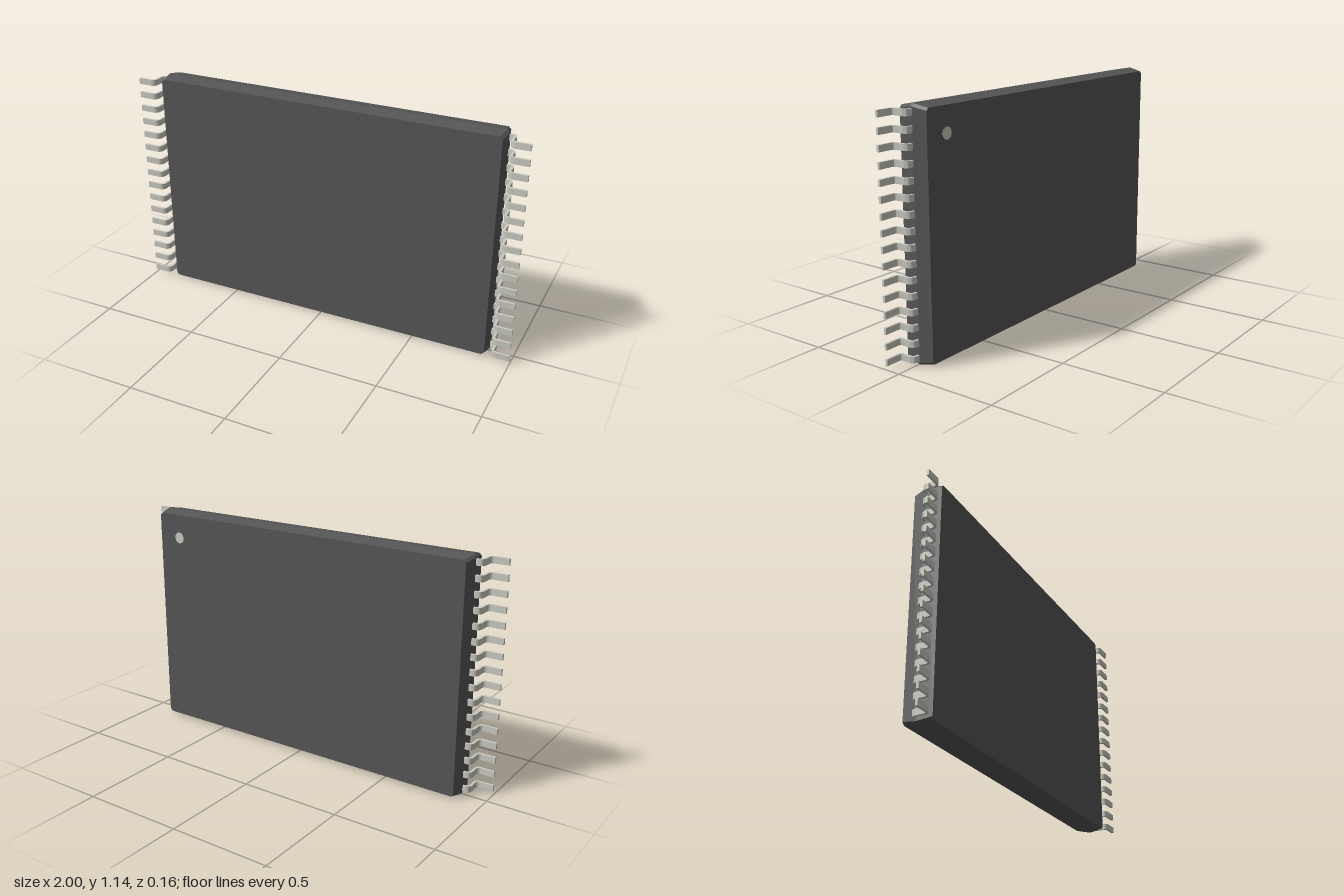
import * as THREE from 'three';
import { toCreasedNormals } from 'three/addons/utils/BufferGeometryUtils.js';

const HEIGHT = 1.14;
const PINS = 16;

// Chamfered-rectangle rings joined along z, with flat caps
function bodyGeometry() {
  // z, half width, half height of each ring, back to front
  const sections = [
    [-0.078, 0.868, 0.556],
    [-0.012, 0.882, 0.57],
    [0, 0.882, 0.57],
    [0.065, 0.872, 0.559],
  ];
  const c = 0.012;
  const pos = [];
  const index = [];
  for (const [z, w, h] of sections) {
    const ring = [[w, c - h], [w, h - c], [w - c, h], [c - w, h],
      [-w, h - c], [-w, c - h], [c - w, -h], [w - c, -h]];
    for (const [x, y] of ring) pos.push(x, y + HEIGHT / 2, z);
  }
  const last = (sections.length - 1) * 8;
  for (let i = 0; i < last; i += 8) {
    for (let j = 0; j < 8; j++) {
      const k = (j + 1) % 8;
      index.push(i + j, i + k, i + 8 + k, i + j, i + 8 + k, i + 8 + j);
    }
  }
  for (let j = 1; j < 7; j++) {
    index.push(0, j + 1, j, last, last + j, last + j + 1);
  }
  const geo = new THREE.BufferGeometry();
  geo.setAttribute('position', new THREE.Float32BufferAttribute(pos, 3));
  geo.setIndex(index);
  const flat = geo.toNonIndexed();
  flat.computeVertexNormals();
  return flat;
}

// Bent strip drawn in the x-z plane, extruded along the pin's width
function pinGeometry(side) {
  const PI = Math.PI;
  const width = 0.03;
  const s = new THREE.Shape();
  s.moveTo(0.86, -0.012);
  s.lineTo(0.894, -0.012);
  s.absarc(0.894, 0.012, 0.024, -PI / 2, 0, false);
  s.absarc(0.93, 0.0535, 0.012, PI, PI / 2, true);
  s.lineTo(1, 0.0655);
  s.lineTo(1, 0.0775);
  s.absarc(0.93, 0.0535, 0.024, PI / 2, PI, false);
  s.absarc(0.894, 0.012, 0.012, 0, -PI / 2, true);
  s.lineTo(0.86, 0);
  const pts = s.getPoints(6).map((p) => new THREE.Vector2(p.x * side, p.y));
  const geo = new THREE.ExtrudeGeometry(new THREE.Shape(pts), { depth: width, bevelEnabled: false });
  geo.translate(0, 0, -width / 2);
  geo.rotateX(PI / 2);
  return toCreasedNormals(geo, 0.6);
}

export function createModel() {
  const model = new THREE.Group();
  model.name = 'chipPackage';
  const dark = new THREE.MeshStandardMaterial({ color: 0x555555 });
  const metal = new THREE.MeshStandardMaterial({ color: 0xc9c9c1 });

  const body = new THREE.Mesh(bodyGeometry(), dark);
  body.name = 'body';
  model.add(body);

  // Round orientation mark on the back face
  const mark = new THREE.Mesh(new THREE.CylinderGeometry(0.028, 0.028, 0.004, 32), metal);
  mark.name = 'orientationMark';
  mark.rotation.x = Math.PI / 2;
  mark.position.set(0.745, 1.007, -0.077);
  model.add(mark);

  // A row of pins down each side
  for (const side of [1, -1]) {
    const row = new THREE.Group();
    row.name = side > 0 ? 'leftPins' : 'rightPins';
    const geo = pinGeometry(side);
    for (let i = 0; i < PINS; i++) {
      const pin = new THREE.Mesh(geo, metal);
      pin.name = 'pin';
      pin.position.y = HEIGHT / 2 + (i - (PINS - 1) / 2) * 0.0715;
      row.add(pin);
    }
    model.add(row);
  }
  return model;
}
